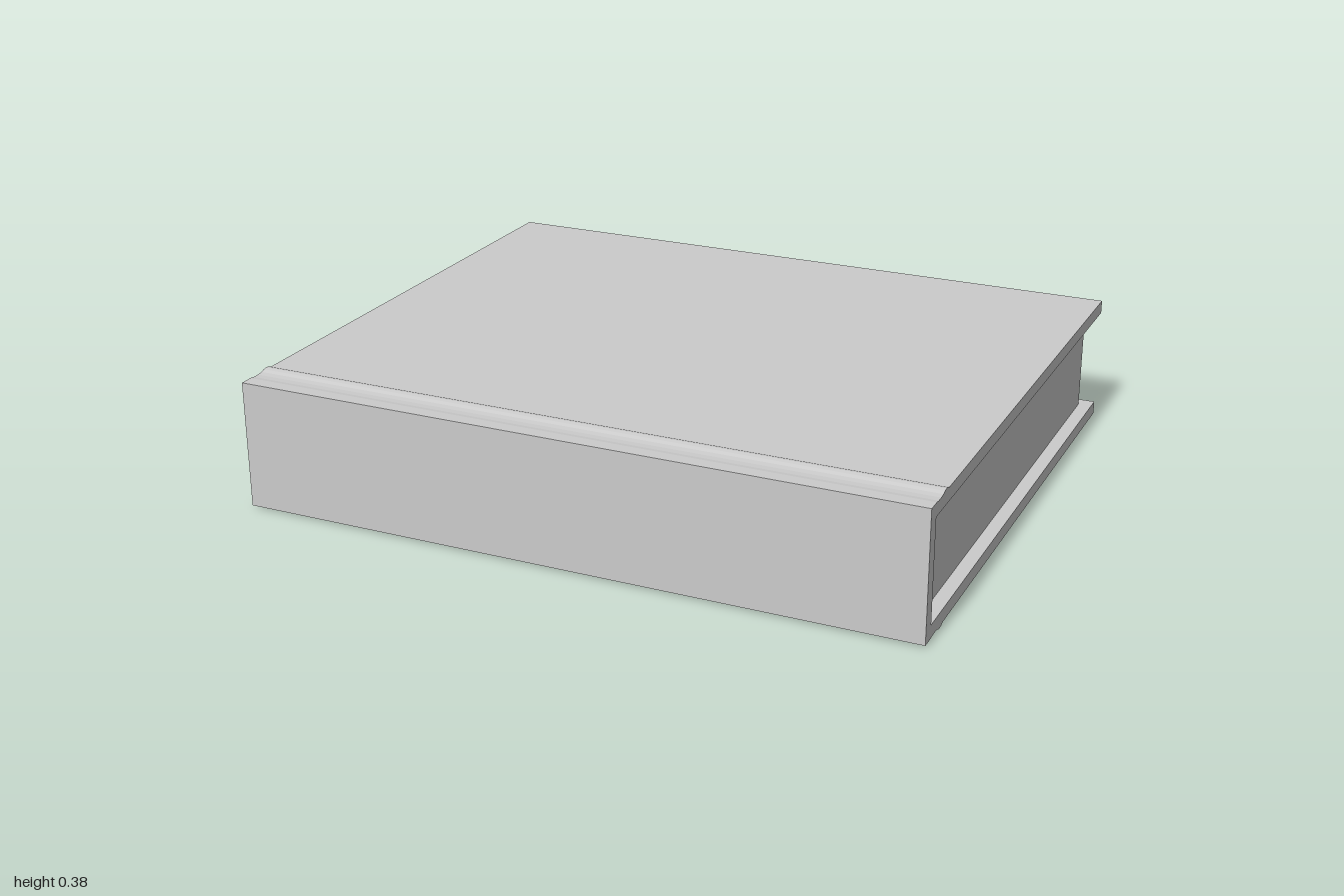
import * as THREE from 'three';

const WIDTH = 2, BACK = -0.83, FRONT = 0.83, BOARD = 0.039;
const BOTTOM = 0.006, TOP = 0.379, MID = (BOTTOM + TOP) / 2;
const INSET = 0.04;

export function createModel() {
  const group = new THREE.Group();
  const material = new THREE.MeshStandardMaterial({ color: 0xcccccc });

  // Hinge of the upper board, from the spine backwards: shallow groove, then a low ridge
  const hinge = [
    [0.79, TOP], [0.775, TOP - 0.002], [0.755, TOP - 0.002], [0.738, TOP],
    [0.727, TOP + 0.004], [0.715, TOP + 0.006], [0.703, TOP + 0.004], [0.692, TOP],
  ];
  const mirrored = hinge.map(([z, y]) => [z, 2 * MID - y]).reverse();

  // Case: both boards and the spine as one C-shaped section, swept along the width
  const section = [
    [BACK, BOTTOM], ...mirrored, [FRONT, BOTTOM],
    [FRONT, TOP], ...hinge, [BACK, TOP],
    [BACK, TOP - BOARD], [FRONT - INSET, TOP - BOARD],
    [FRONT - INSET, BOTTOM + BOARD], [BACK, BOTTOM + BOARD],
  ].map(([z, y]) => new THREE.Vector2(z, y));
  const caseGeometry = new THREE.ExtrudeGeometry(new THREE.Shape(section), {
    depth: WIDTH, bevelEnabled: false,
  });
  caseGeometry.rotateY(-Math.PI / 2).translate(WIDTH / 2, 0, 0);
  const cover = new THREE.Mesh(caseGeometry, material);
  cover.name = 'cover';
  group.add(cover);

  // Page block, set back from the boards on the three open sides
  const pages = new THREE.Mesh(
    new THREE.BoxGeometry(WIDTH - 2 * INSET, TOP - BOTTOM - 2 * BOARD, FRONT - BACK - 2 * INSET),
    material,
  );
  pages.position.y = MID;
  pages.name = 'pages';
  group.add(pages);

  return group;
}
